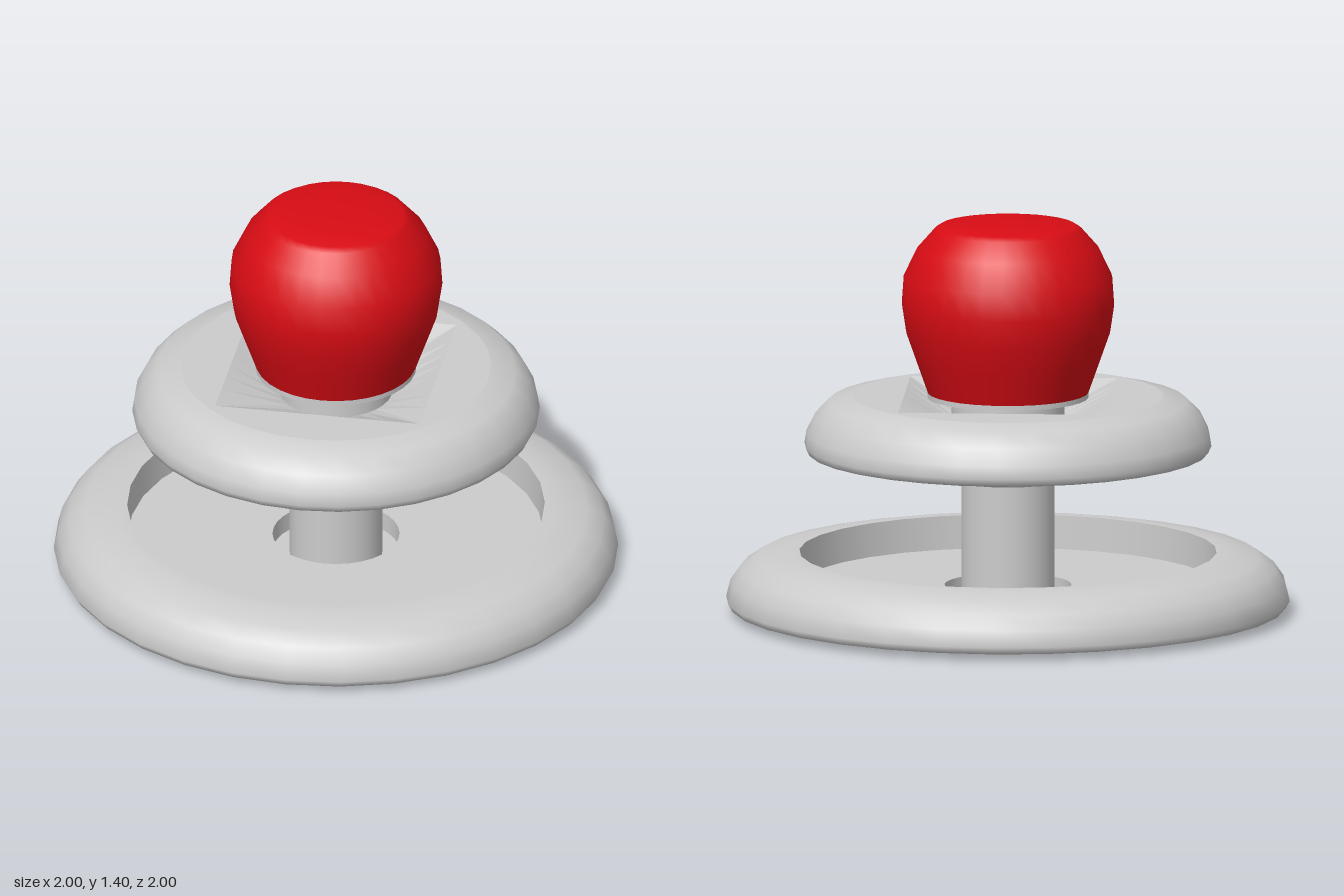
import * as THREE from 'three';

const SIDES = 32;
const grey = new THREE.MeshStandardMaterial({ color: 0xcccccc });
const red = new THREE.MeshStandardMaterial({ color: 0xd80c14 });

// Turned part from [radius, height] pairs running up the outside; a repeated pair makes a sharp edge.
function turned(name, profile, material = grey) {
  const points = profile.map(([r, y]) => new THREE.Vector2(r, y));
  const mesh = new THREE.Mesh(new THREE.LatheGeometry(points, SIDES), material);
  mesh.name = name;
  return mesh;
}

// Flat top of the upper disc, sinking inside a twisted square towards the neck.
function dishedTop() {
  let geometry = new THREE.RingGeometry(0.2, 0.55, SIDES, 2);
  const pos = geometry.attributes.position;
  const quarter = Math.PI / 2;
  const corner = Math.PI * 0.375;
  for (let i = 0; i < pos.count; i++) {
    const row = Math.floor(i / (SIDES + 1));
    const angle = (i % (SIDES + 1)) / SIDES * Math.PI * 2;
    if (row === 0) pos.setZ(i, 0.68);
    if (row === 2) pos.setZ(i, 0.78);
    if (row === 1) {
      const fromCorner = (angle - corner + 2 * Math.PI) % quarter;
      const r = 0.52 * Math.SQRT1_2 / Math.cos(fromCorner - quarter / 2);
      pos.setXYZ(i, r * Math.cos(angle), r * Math.sin(angle), 0.78);
    }
  }
  geometry.rotateX(-Math.PI / 2);
  geometry = geometry.toNonIndexed();
  geometry.computeVertexNormals();
  const mesh = new THREE.Mesh(geometry, grey);
  mesh.name = 'upperDiscTop';
  return mesh;
}

export function createModel() {
  const model = new THREE.Group();
  model.name = 'knobOnDiscs';

  model.add(
    // Wide base with a recessed floor and a clearance hole round the shaft
    turned('baseDisc', [
      [0, 0.02], [0.96, 0.02], [0.96, 0.02], [0.985, 0.025], [1, 0.05], [0.985, 0.11],
      [0.95, 0.16], [0.89, 0.2], [0.79, 0.22], [0.74, 0.22], [0.74, 0.22],
      [0.735, 0.1], [0.735, 0.1], [0.225, 0.1], [0.225, 0.1], [0.225, 0.03], [0.225, 0.03], [0, 0.03],
    ]),
    // Central shaft
    turned('shaft', [
      [0, 0], [0.165, 0], [0.165, 0], [0.165, 0.6],
    ]),
    // Flange under the upper disc
    turned('lowerFlange', [
      [0, 0.485], [0.205, 0.485], [0.205, 0.485], [0.22, 0.5], [0.222, 0.58],
    ]),
    // Upper disc
    turned('upperDisc', [
      [0, 0.575], [0.69, 0.575], [0.69, 0.575], [0.71, 0.58], [0.722, 0.605], [0.715, 0.65],
      [0.685, 0.71], [0.635, 0.76], [0.55, 0.78],
    ]),
    dishedTop(),
    // Neck and collar carrying the knob
    turned('neck', [[0.2, 0.65], [0.2, 0.78]]),
    turned('collar', [
      [0, 0.775], [0.285, 0.775], [0.285, 0.775], [0.285, 0.795],
    ]),
    // Rounded red knob
    turned('knob', [
      [0, 0.793], [0.285, 0.793], [0.285, 0.793], [0.325, 0.905], [0.362, 1.01], [0.377, 1.11], [0.37, 1.21],
      [0.322, 1.31], [0.262, 1.378], [0.24, 1.392], [0.15, 1.405], [0, 1.405],
    ], red),
  );
  return model;
}
